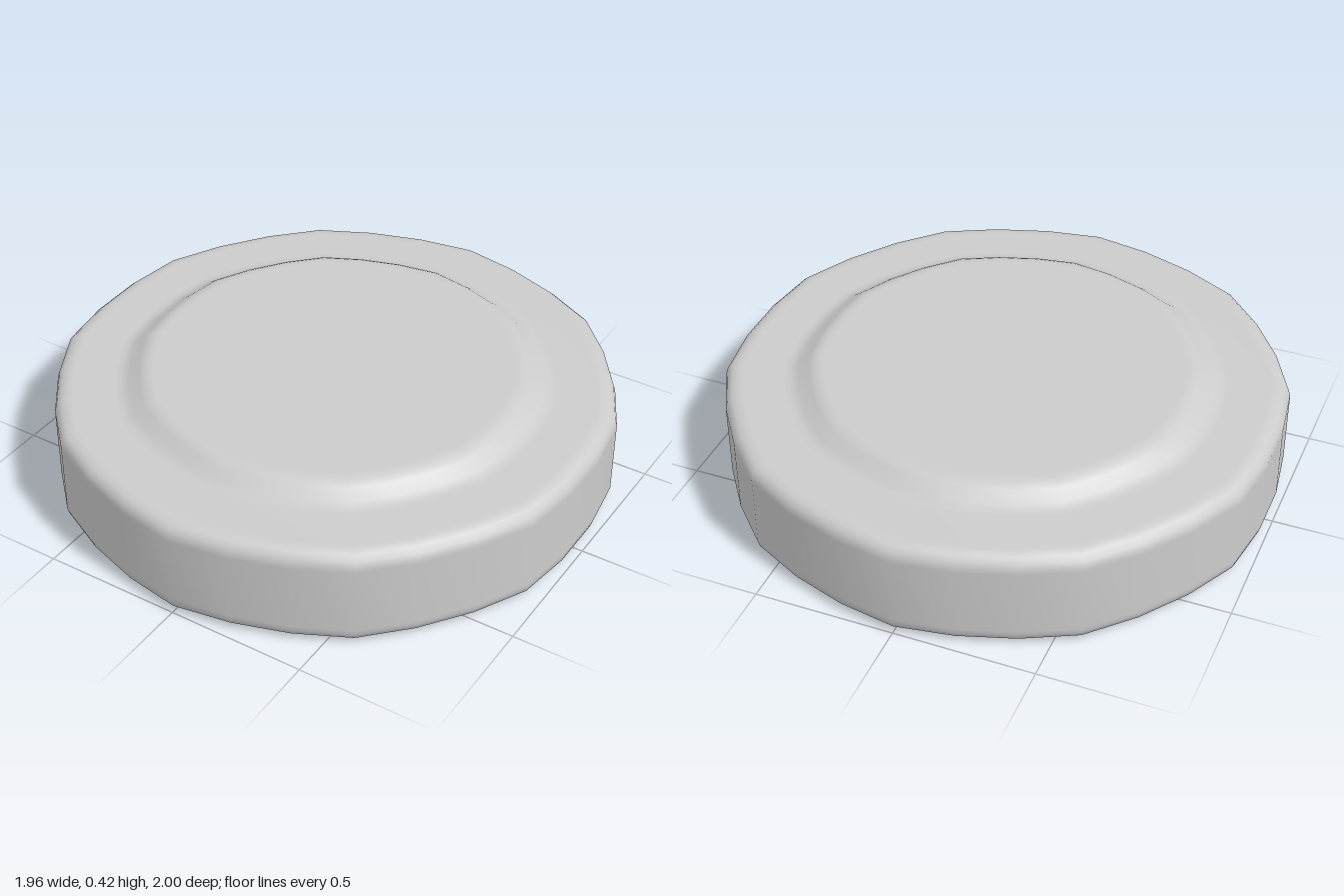
import * as THREE from 'three';
import { mergeVertices } from 'three/addons/utils/BufferGeometryUtils.js';

const SIDES = 10; // main corners of the outline
const SEGMENTS = SIDES * 3;

// Half section from the underside centre, round the rim, to the plateau centre
const PROFILE = [
  [0, 0], [0.93, 0], [0.95, 0.001], [0.975, 0.008], [0.993, 0.024], [1, 0.045],
  [1, 0.06], [1, 0.305], [1, 0.32], [0.993, 0.342], [0.975, 0.358], [0.95, 0.365],
  [0.93, 0.366], [0.79, 0.366], [0.765, 0.368], [0.737, 0.378], [0.7, 0.405],
  [0.68, 0.415], [0.66, 0.42], [0.64, 0.421], [0, 0.421],
];

function discGeometry() {
  const lathe = new THREE.LatheGeometry(PROFILE.map(([r, y]) => new THREE.Vector2(r, y)), SEGMENTS);
  const pos = lathe.attributes.position;
  // Every third column is a corner; those between are pulled in slightly
  for (let i = 0; i < pos.count; i++) {
    const column = Math.floor(i / PROFILE.length);
    const k = column % 3 === 0 ? 1 : 0.987;
    pos.setX(i, pos.getX(i) * k);
    pos.setZ(i, pos.getZ(i) * k);
  }
  // Weld the seam so the shading is smooth all round
  lathe.deleteAttribute('uv');
  lathe.deleteAttribute('normal');
  const geometry = mergeVertices(lathe, 1e-4);
  geometry.computeVertexNormals();
  return geometry;
}

export function createModel() {
  const group = new THREE.Group();
  group.name = 'roundBase';
  const disc = new THREE.Mesh(discGeometry(), new THREE.MeshStandardMaterial({ color: 0xcccccc }));
  disc.name = 'discWithRaisedTop';
  group.add(disc);
  return group;
}
